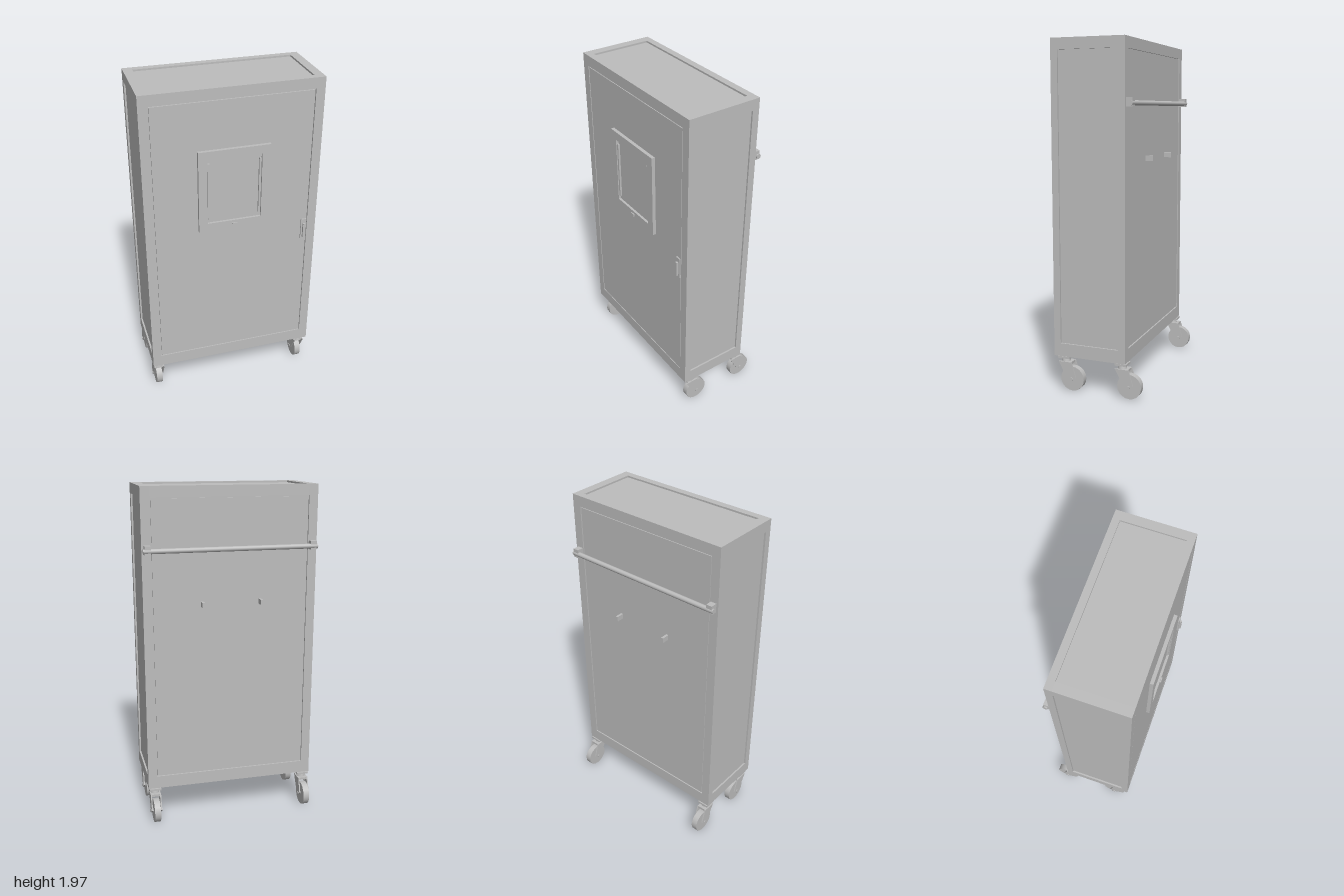
import * as THREE from 'three';

const grey = new THREE.MeshStandardMaterial({ color: 0xbdbdbd });
grey.name = 'grey metal';

function add(parent, name, geometry, x, y, z) {
  const mesh = new THREE.Mesh(geometry, grey);
  mesh.name = name;
  mesh.position.set(x, y, z);
  parent.add(mesh);
  return mesh;
}
const box = (w, h, d) => new THREE.BoxGeometry(w, h, d);

// Box given by its lower and upper corners
function span(parent, name, a, b) {
  return add(parent, name, box(b[0] - a[0], b[1] - a[1], b[2] - a[2]),
    (a[0] + b[0]) / 2, (a[1] + b[1]) / 2, (a[2] + b[2]) / 2);
}

// Flat rectangular frame with an opening, facing +z
function frameGeometry(w, h, border, depth) {
  const rect = (C, a, b) => {
    const p = new C();
    p.moveTo(-a, -b); p.lineTo(a, -b); p.lineTo(a, b); p.lineTo(-a, b); p.closePath();
    return p;
  };
  const shape = rect(THREE.Shape, w / 2, h / 2);
  shape.holes.push(rect(THREE.Path, w / 2 - border, h / 2 - border));
  return new THREE.ExtrudeGeometry(shape, { depth, bevelEnabled: false });
}

function makeCaster(x, z) {
  const caster = new THREE.Group();
  caster.name = 'caster';
  caster.position.set(x, 0, z);
  // Swivel plate and stem
  add(caster, 'casterPlate', box(0.07, 0.012, 0.07), 0, 0.216, 0);
  add(caster, 'casterStem', new THREE.CylinderGeometry(0.022, 0.028, 0.03, 12), 0, 0.196, 0);
  // Fork: bridge and two trailing cheeks
  add(caster, 'forkBridge', box(0.062, 0.014, 0.065), 0, 0.183, -0.01);
  const cheek = new THREE.Shape();
  cheek.moveTo(0.035, 0.19);
  cheek.lineTo(-0.045, 0.19);
  cheek.lineTo(-0.072, 0.1);
  cheek.lineTo(-0.045, 0.075);
  cheek.lineTo(-0.02, 0.09);
  const cheekGeo = new THREE.ExtrudeGeometry(cheek, { depth: 0.007, bevelEnabled: false });
  cheekGeo.rotateY(-Math.PI / 2);
  for (const cx of [-0.024, 0.031]) add(caster, 'forkCheek', cheekGeo, cx, 0, 0);
  // Trailing wheel and axle
  const wheel = add(caster, 'wheel', new THREE.CylinderGeometry(0.071, 0.071, 0.036, 20), 0, 0.091, -0.045);
  wheel.rotation.z = Math.PI / 2;
  const axle = add(caster, 'axle', new THREE.CylinderGeometry(0.011, 0.011, 0.07, 10), 0, 0.091, -0.045);
  axle.rotation.z = Math.PI / 2;
  return caster;
}

export function createModel() {
  const model = new THREE.Group();
  model.name = 'wheeledCabinet';

  const X = 0.505, Y0 = 0.225, Y1 = 1.99, Z0 = -0.21, Z1 = 0.22;
  const T = 0.052, LOW = 0.075, TOP = 0.062, ZT = 0.04;

  // Outer framework: four posts, then rails top and bottom
  const frame = new THREE.Group();
  frame.name = 'cabinetFrame';
  model.add(frame);
  for (const [xa, xb] of [[-X, -X + T], [X - T, X]])
    for (const [za, zb] of [[Z0, Z0 + ZT], [Z1 - ZT, Z1]])
      span(frame, 'cornerPost', [xa, Y0, za], [xb, Y1, zb]);
  for (const [ya, yb] of [[Y0, Y0 + LOW], [Y1 - TOP, Y1]]) {
    for (const [za, zb] of [[Z0, Z0 + ZT], [Z1 - ZT, Z1]])
      span(frame, 'longRail', [-X + T, ya, za], [X - T, yb, zb]);
    for (const [xa, xb] of [[-X, -X + T], [X - T, X]])
      span(frame, 'sideRail', [xa, ya, Z0 + ZT], [xb, yb, Z1 - ZT]);
  }

  // Closed body whose faces sit just inside the framework
  const G = 0.01;
  span(model, 'bodyPanels', [-X + G, Y0 + 0.015, Z0 + G], [X - G, Y1 - G, Z1 - G]);

  // Door and rear panel fill their openings, leaving a fine gap
  const gap = 0.005;
  span(model, 'door', [-X + T + gap, Y0 + LOW + gap, Z1 - 0.03], [X - T - gap, Y1 - TOP - gap, Z1 - 0.001]);
  span(model, 'rearPanel', [-X + T + gap, Y0 + LOW + gap, Z0 + 0.003], [X - T - gap, Y1 - TOP - gap, Z0 + 0.03]);

  // Display panel on the door
  const display = new THREE.Group();
  display.name = 'displayPanel';
  display.position.set(0.002, 1.405, Z1 - 0.003);
  model.add(display);
  add(display, 'displayFrame', frameGeometry(0.41, 0.49, 0.05, 0.022), 0, 0, 0);
  add(display, 'displayFace', box(0.32, 0.4, 0.008), 0, 0, 0.004);
  for (const s of [-1, 1]) add(display, 'displayTrim', box(0.012, 0.34, 0.014), s * 0.146, 0, 0.012);
  add(display, 'displayLatch', box(0.03, 0.015, 0.008), 0, -0.218, 0.024);

  // Door handle on its backing plate
  const handle = new THREE.Group();
  handle.name = 'doorHandle';
  handle.position.set(0.43, 1.07, Z1);
  model.add(handle);
  add(handle, 'handlePlate', box(0.032, 0.13, 0.008), 0, 0, 0.003);
  add(handle, 'handleGrip', box(0.014, 0.09, 0.012), 0, -0.005, 0.014);

  // Push bar across the back, with end brackets
  const bar = add(model, 'pushBar', new THREE.CylinderGeometry(0.014, 0.014, 1.0, 12), 0, 1.645, -0.238);
  bar.rotation.z = Math.PI / 2;
  for (const s of [-1, 1]) {
    add(model, 'barBracket', box(0.035, 0.05, 0.04), s * 0.475, 1.65, -0.228);
    // Small hooks at mid height on the rear panel
    add(model, 'rearHook', box(0.014, 0.03, 0.045), s * 0.17, 1.335, -0.229);
  }

  // Four casters
  for (const x of [-0.465, 0.465]) for (const z of [0.165, -0.18]) model.add(makeCaster(x, z));

  return model;
}
